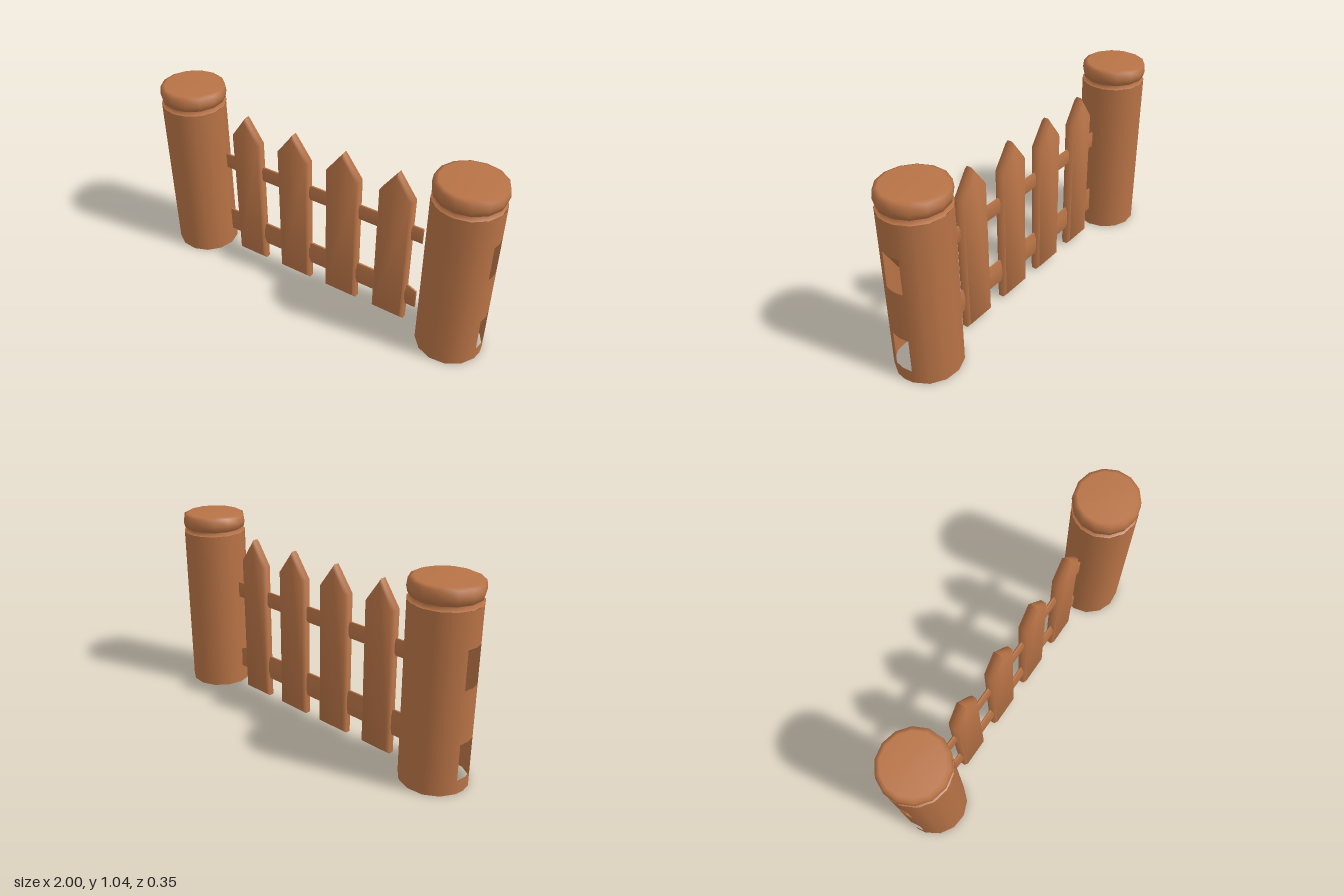
import * as THREE from 'three';
import { toCreasedNormals } from 'three/addons/utils/BufferGeometryUtils.js';

const wood = new THREE.MeshStandardMaterial({ color: 0xb87346, side: THREE.DoubleSide });
wood.name = 'wood';

function add(parent, name, geometry) {
  const mesh = new THREE.Mesh(geometry, wood);
  mesh.name = name;
  parent.add(mesh);
  return mesh;
}

// Flat board with chamfered edges, drawn in x/y and centred on z
function board(points, thickness, bevel, bevelDepth) {
  const shape = new THREE.Shape(points.map(([x, y]) => new THREE.Vector2(x, y)));
  const depth = thickness - 2 * bevelDepth;
  const geometry = new THREE.ExtrudeGeometry(shape, {
    depth, bevelEnabled: true, bevelSegments: 1,
    bevelSize: bevel, bevelOffset: -bevel, bevelThickness: bevelDepth,
  });
  geometry.translate(0, 0, -depth / 2);
  return toCreasedNormals(geometry, 1.0);
}

// Hollow post with two slots in its outer (+x) side and a round cap
function createPost(name) {
  const post = new THREE.Group();
  post.name = name;
  const r = 0.175, top = 0.935, half = 0.29;
  const wall = (part, y0, y1, start, length, segments) => {
    const g = new THREE.CylinderGeometry(r, r, y1 - y0, segments, 1, true, start, length);
    g.translate(0, (y0 + y1) / 2, 0);
    add(post, part, g);
  };
  wall('postWall', 0, top, Math.PI / 2 + half, Math.PI * 2 - half * 2, 12);
  for (const [y0, y1] of [[0, 0.075], [0.27, 0.55], [0.75, top]]) {
    wall('slotBand', y0, y1, Math.PI / 2 - half, half * 2, 2);
  }

  // sloping roof inside each slot
  for (const [y, drop, twist] of [[0.75, 0.11, 0.5], [0.27, 0.06, 0]]) {
    const g = new THREE.PlaneGeometry(0.1, 0.12);
    const p = g.attributes.position;
    for (let i = 0; i < p.count; i++) {
      const z = p.getX(i), inner = p.getY(i) < 0;
      p.setXYZ(i, inner ? 0.09 : 0.166, inner ? y - drop - z * twist : y, z);
    }
    g.computeVertexNormals();
    add(post, 'slotRoof', g);
  }

  // neck and cap in one smooth profile
  const profile = [[r, top], [0.148, 0.947], [0.17, 0.96], [0.177, 0.99], [0.172, 1.03], [0.15, 1.04], [0, 1.04]];
  add(post, 'cap', new THREE.LatheGeometry(profile.map(([x, y]) => new THREE.Vector2(x, y)), 14));
  return post;
}

export function createModel() {
  const fence = new THREE.Group();
  fence.name = 'fence';

  // Posts, slots facing outward
  const left = createPost('leftPost');
  left.position.x = 0.82;
  left.scale.x = 1.02;
  const right = createPost('rightPost');
  right.position.x = -0.82;
  right.rotation.y = Math.PI;
  right.scale.x = 1.02;
  fence.add(left, right);

  // Pickets: centre x, half width, shoulder height, bottom lean
  const pickets = [[-0.46, 0.095, 0.81, 0], [-0.155, 0.1, 0.81, 0], [0.15, 0.1, 0.81, 0], [0.458, 0.097, 0.81, -0.004]];
  for (const [x, w, shoulder, lean] of pickets) {
    const outline = [[-w + lean, 0.015], [w + lean, 0.015], [w, shoulder], [0, 0.945], [-w, shoulder]];
    const mesh = add(fence, 'picket', board(outline, 0.056, 0.015, 0.014));
    mesh.position.set(x, 0, -0.002);
  }

  // Rails
  add(fence, 'upperRail', board([[-0.62, 0.57], [0.615, 0.57], [0.615, 0.66], [-0.62, 0.66]], 0.025, 0.02, 0.008));
  add(fence, 'lowerRail', board(
    [[-0.62, 0.125], [0.61, 0.125], [0.61, 0.235], [0.55, 0.262], [-0.62, 0.27]], 0.03, 0.04, 0.01));
  return fence;
}
